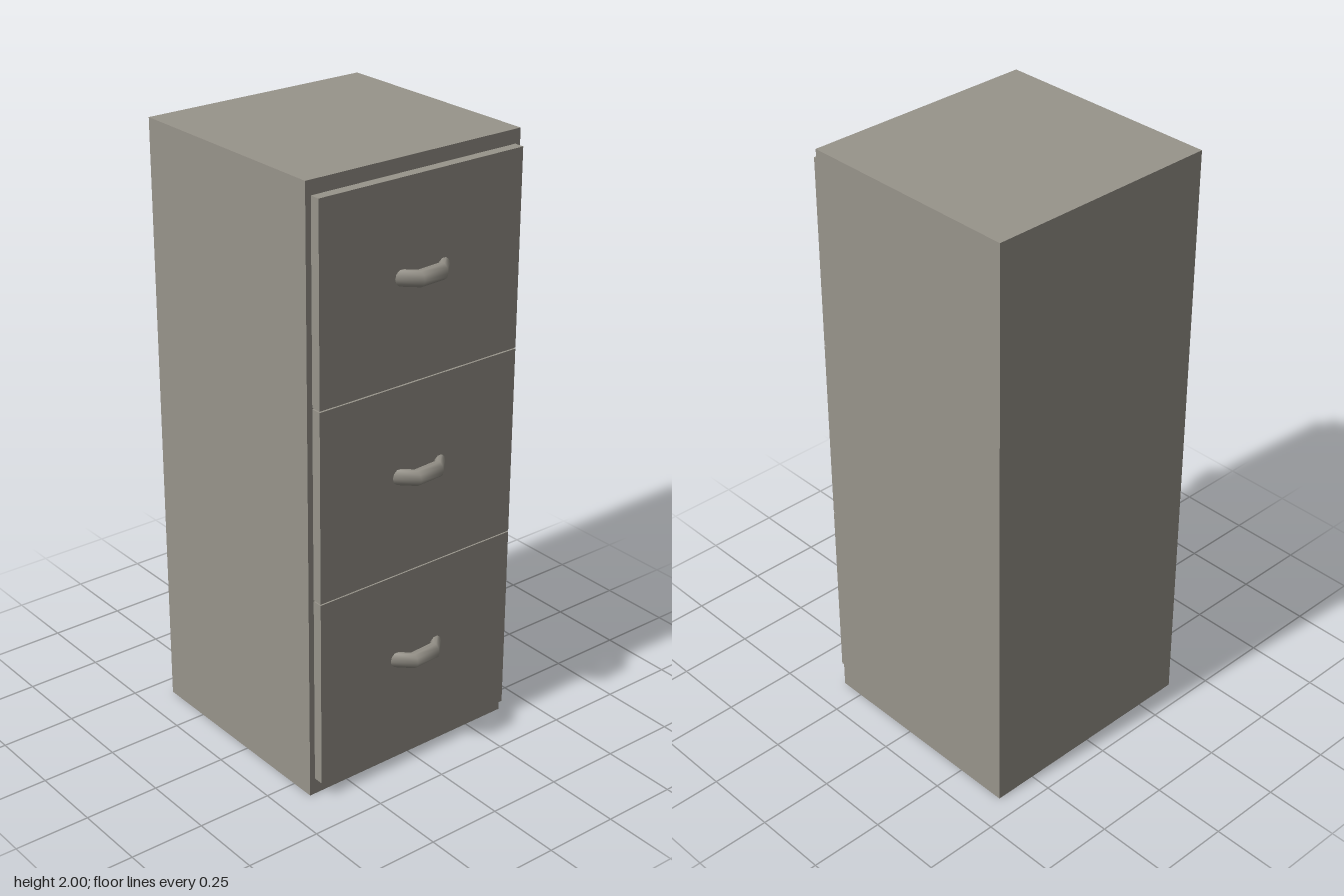
import * as THREE from 'three';

const paint = new THREE.MeshStandardMaterial({ color: 0x98948b });
paint.name = 'warm grey paint';

function box(name, x0, x1, y0, y1, z0, z1) {
  const mesh = new THREE.Mesh(new THREE.BoxGeometry(x1 - x0, y1 - y0, z1 - z0), paint);
  mesh.position.set((x0 + x1) / 2, (y0 + y1) / 2, (z0 + z1) / 2);
  mesh.name = name;
  return mesh;
}

// Bent bar lofted through mitred rings: [outer x, outer z, inner x, inner z]
function handleGeometry() {
  const stations = [
    [-0.112, 0.357, -0.066, 0.357],
    [-0.042, 0.426, -0.043, 0.377],
    [0.05, 0.42, 0.05, 0.371],
    [0.112, 0.357, 0.066, 0.357],
  ];
  const sides = 10, halfHeight = 0.026;
  const positions = [], index = [];
  stations.forEach(([ox, oz, ix, iz], s) => {
    for (let k = 0; k < sides; k++) {
      const a = (k / sides) * Math.PI * 2, t = (1 + Math.cos(a)) / 2;
      positions.push(ix + (ox - ix) * t, Math.sin(a) * halfHeight, iz + (oz - iz) * t);
      if (s === stations.length - 1) continue;
      const p = s * sides + k, q = s * sides + ((k + 1) % sides);
      index.push(p, p + sides, q, q, p + sides, q + sides);
    }
  });
  const geometry = new THREE.BufferGeometry();
  geometry.setAttribute('position', new THREE.Float32BufferAttribute(positions, 3));
  geometry.setIndex(index);
  geometry.computeVertexNormals();
  return geometry;
}

export function createModel() {
  const model = new THREE.Group();
  model.name = 'filingCabinet';

  // Cabinet body
  model.add(box('cabinetBody', -0.395, 0.395, 0, 2, -0.428, 0.332));

  // Three drawer fronts with narrow gaps, each with a bent pull handle
  const handle = handleGeometry();
  const drawers = [
    [0.056, 0.689, 0.39],
    [0.693, 1.318, 1.024],
    [1.322, 1.955, 1.656],
  ];
  for (const [bottom, top, handleY] of drawers) {
    const drawer = new THREE.Group();
    drawer.name = 'drawer';
    drawer.add(box('drawerFront', -0.376, 0.376, bottom, top, 0.332, 0.366));
    const pull = new THREE.Mesh(handle, paint);
    pull.name = 'drawerHandle';
    pull.position.y = handleY;
    drawer.add(pull);
    model.add(drawer);
  }
  return model;
}
